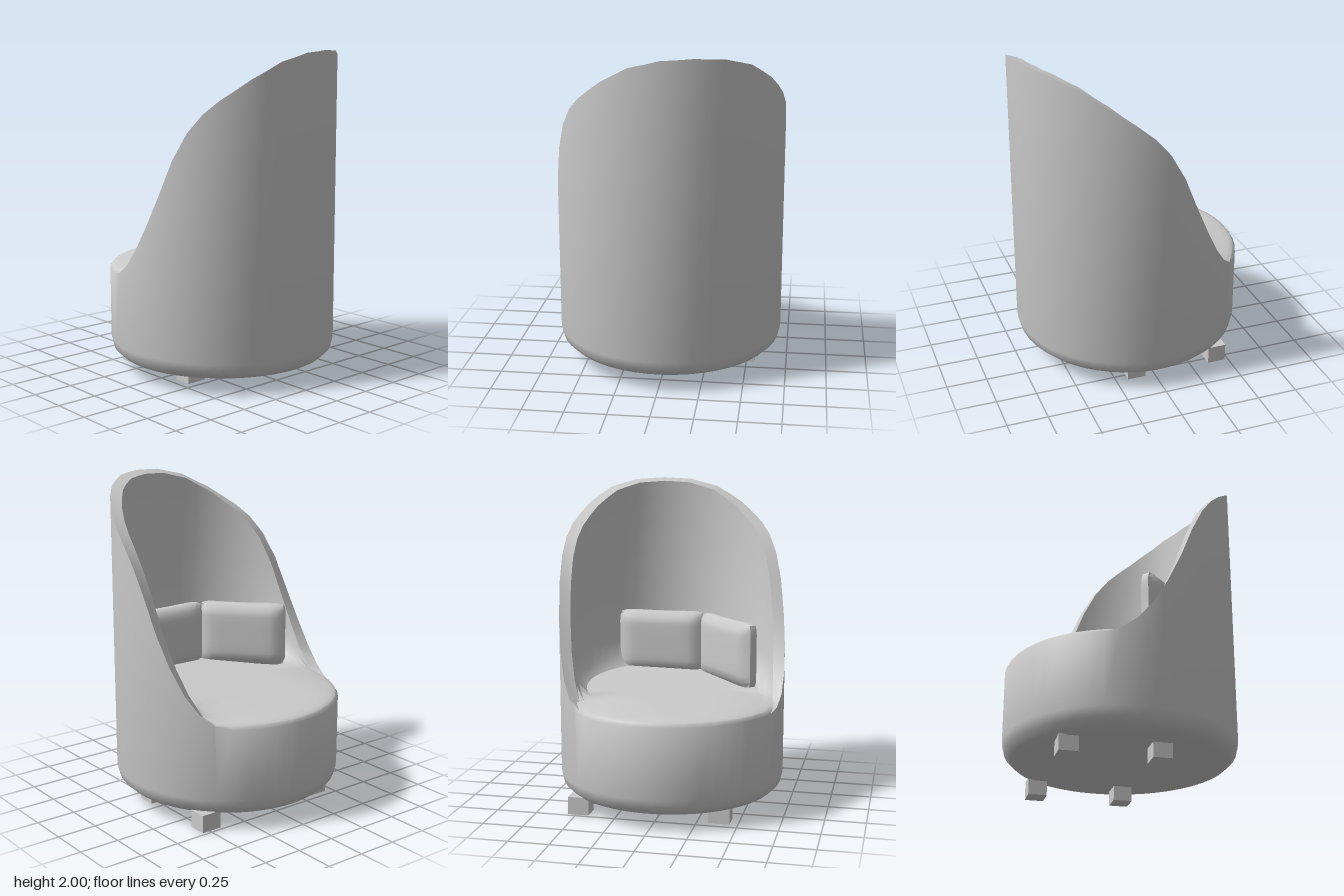
import * as THREE from 'three';
import { toCreasedNormals } from 'three/addons/utils/BufferGeometryUtils.js';

const SIDES = 48;
const TURN = THREE.MathUtils.degToRad(17); // heading of the tallest part of the back
const lerp = THREE.MathUtils.lerp;

// Rim height against degrees away from the tallest point
const RIM = [[0, 2], [15, 1.99], [30, 1.945], [45, 1.85], [60, 1.73], [72, 1.61], [82, 1.4],
  [89, 1.2], [96, 1.02], [104, 0.85], [112, 0.73], [120, 0.665], [128, 0.64], [180, 0.64]];

function rimHeight(deg) {
  const i = Math.max(1, RIM.findIndex((p) => p[0] >= deg));
  const [a, b] = [RIM[i - 1], RIM[i]];
  return lerp(a[1], b[1], (deg - a[0]) / (b[0] - a[0]));
}

// Cross-section at one angle: underside, outer wall, rim, inner wall, seat
function section(deg) {
  const h = rimHeight(deg);
  const w = 1 - THREE.MathUtils.smoothstep(deg, 104, 126); // 1 = shell, 0 = open front
  const seat = (r) => 0.725 + 0.075 * r * Math.cos(THREE.MathUtils.degToRad(deg));
  const rimY = lerp(0.663, Math.max(h - 0.02, 0.68), w);
  const rise = Math.max(0, rimY - seat(0.6));
  return [
    [0, 0.09], [0.6, 0.09], [0.65, 0.102], [0.69, 0.14], [0.705, 0.2],
    [0.705, h],
    [lerp(0.69, 0.635, w), rimY],
    [lerp(0.665, 0.62, w), lerp(0.672, seat(0.6) + Math.min(0.16, 0.6 * rise), w)],
    [lerp(0.63, 0.595, w), lerp(0.677, seat(0.6) + Math.min(0.05, 0.25 * rise), w)],
    [0.54, seat(0.54)], [0.3, seat(0.3)], [0, seat(0)],
  ];
}

function bodyGeometry() {
  const pos = [], index = [];
  let rows = 0;
  for (let i = 0; i < SIDES; i++) {
    const a = (i / SIDES) * Math.PI * 2;
    const deg = Math.min(i, SIDES - i) * 360 / SIDES;
    const pts = section(deg);
    rows = pts.length;
    for (const [r, y] of pts) pos.push(r * Math.cos(a + TURN), y, -r * Math.sin(a + TURN));
  }
  for (let i = 0; i < SIDES; i++) {
    for (let j = 0; j < rows - 1; j++) {
      const a = i * rows + j, b = ((i + 1) % SIDES) * rows + j;
      if (j > 0) index.push(a, b, b + 1);
      if (j < rows - 2) index.push(a, b + 1, a + 1);
      if (j === 0) index.pop(), index.pop(), index.pop(), index.push(a, b + 1, a + 1);
    }
  }
  const geo = new THREE.BufferGeometry();
  geo.setAttribute('position', new THREE.Float32BufferAttribute(pos, 3));
  geo.setIndex(index);
  return toCreasedNormals(geo, 0.65);
}

// Cushion: a box puffed in the middle, with slightly sagging edges
function cushionGeometry(length, height, thick) {
  const geo = new THREE.BoxGeometry(2, 2, 2, 12, 10, 2);
  const p = geo.attributes.position;
  for (let i = 0; i < p.count; i++) {
    const u = p.getX(i), v = p.getY(i), s = p.getZ(i);
    const puff = Math.sqrt((1 - u ** 6) * (1 - v ** 6));
    const bevel = 1 - 0.07 * Math.abs(u * v) ** 6;
    p.setXYZ(i,
      u * (length / 2) * bevel * (1 - 0.03 * (1 - v * v)),
      v * (height / 2) * bevel * (1 - 0.04 * (1 - u * u)),
      s * (thick / 2) * (0.35 + 0.65 * puff));
  }
  return toCreasedNormals(geo, 0.9);
}

export function createModel() {
  const group = new THREE.Group();
  const material = new THREE.MeshStandardMaterial({ color: 0xcccccc });
  const add = (name, geo, x = 0, y = 0, z = 0, turn = 0) => {
    const mesh = new THREE.Mesh(geo, material);
    mesh.name = name;
    mesh.position.set(x, y, z);
    mesh.rotation.y = turn;
    group.add(mesh);
  };

  // Round tub with a sweeping back and seat
  add('chairShell', bodyGeometry());

  // Two cushions leaning against the back
  const cushion = cushionGeometry(0.58, 0.42, 0.13);
  add('backCushion', cushion, 0.435, 0.93, -0.165, Math.PI / 2);
  add('sideCushion', cushion, 0.235, 0.93, 0.315, 0.76);

  // Four block feet
  const foot = new THREE.BoxGeometry(0.115, 0.11, 0.13);
  for (const x of [-0.41, 0.13]) {
    add('foot', foot, x + 0.012, 0.055, 0.385);
    add('foot', foot, x - 0.012, 0.055, -0.485);
  }
  return group;
}
